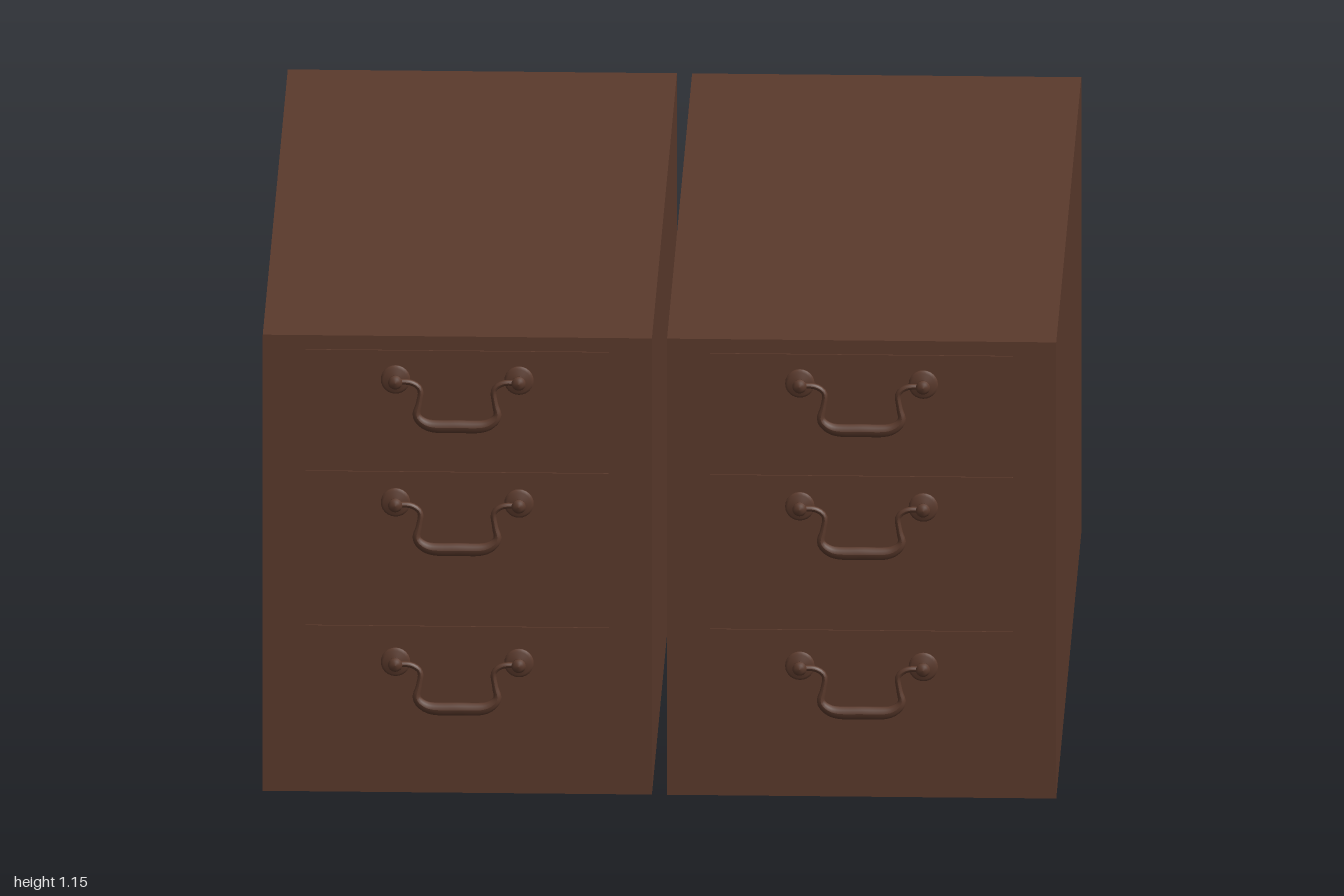
import * as THREE from 'three';

const W = 0.927, H = 1.147, FRONT = 0.962, BACK = -1;
const CENTRE = 0.4815;          // x of each cabinet
const HALF = 0.361;             // half width of a drawer
const FACE = 0.966;             // drawer face, just proud of the frame
const DEPTH = 0.13;             // how far a drawer front reaches inward
const DRAWERS = [               // bottom, top, height of the handle knobs
  { y0: 0.061, y1: 0.419, handle: 0.33 },
  { y0: 0.533, y1: 0.807, handle: 0.731 },
  { y0: 0.883, y1: 1.112, handle: 1.04 },
];

const wood = new THREE.MeshStandardMaterial({ color: 0x5b3a2c, side: THREE.DoubleSide });
wood.name = 'darkBrownWood';

function add(parent, name, geometry, x = 0, y = 0, z = 0) {
  const mesh = new THREE.Mesh(geometry, wood);
  mesh.name = name;
  mesh.position.set(x, y, z);
  parent.add(mesh);
  return mesh;
}

// Flat rectangle, turned by rx and ry
function panel(parent, name, w, h, x, y, z, rx = 0, ry = 0) {
  add(parent, name, new THREE.PlaneGeometry(w, h), x, y, z).rotation.set(rx, ry, 0);
}

// Cabinet shell, open underneath, with drawer openings in the front
function makeCarcass() {
  const g = new THREE.Group();
  g.name = 'carcass';
  const len = FRONT - BACK, mid = (FRONT + BACK) / 2;
  panel(g, 'top', W, len, 0, H, mid, -Math.PI / 2);
  panel(g, 'back', W, H, 0, H / 2, BACK, 0, Math.PI);
  for (const s of [-1, 1]) panel(g, 'side', len, H, s * W / 2, H / 2, mid, 0, s * Math.PI / 2);

  const frame = new THREE.Shape([
    new THREE.Vector2(-W / 2, 0), new THREE.Vector2(W / 2, 0),
    new THREE.Vector2(W / 2, H), new THREE.Vector2(-W / 2, H)]);
  for (const { y0, y1 } of DRAWERS) {
    frame.holes.push(new THREE.Path([
      new THREE.Vector2(-HALF, y0), new THREE.Vector2(-HALF, y1),
      new THREE.Vector2(HALF, y1), new THREE.Vector2(HALF, y0)]));
  }
  add(g, 'frontFrame', new THREE.ShapeGeometry(frame), 0, 0, FRONT);
  return g;
}

// Drawer front: a face with walls running inward, open behind
function makeDrawer({ y0, y1 }) {
  const g = new THREE.Group();
  g.name = 'drawer';
  const h = y1 - y0, cy = (y0 + y1) / 2, z = FACE - DEPTH / 2;
  panel(g, 'drawerFace', HALF * 2, h, 0, cy, FACE);
  panel(g, 'drawerTop', HALF * 2, DEPTH, 0, y1, z, -Math.PI / 2);
  panel(g, 'drawerBottom', HALF * 2, DEPTH, 0, y0, z, Math.PI / 2);
  for (const s of [-1, 1]) panel(g, 'drawerSide', DEPTH, h, s * HALF, cy, z, 0, s * Math.PI / 2);
  return g;
}

// Swan-neck bail: a tube that swells towards the grip
function bailGeometry() {
  const half = [[0.147, 0], [0.108, -0.002], [0.088, -0.018], [0.091, -0.055], [0.096, -0.085], [0.072, -0.107]];
  const points = [
    ...half.map(([x, y]) => new THREE.Vector3(-x, y, 0)),
    new THREE.Vector3(0, -0.111, 0),
    ...half.slice().reverse().map(([x, y]) => new THREE.Vector3(x, y, 0))];
  const curve = new THREE.CatmullRomCurve3(points);
  const segments = 56, sides = 10;
  const geometry = new THREE.TubeGeometry(curve, segments, 1, sides);
  const pos = geometry.attributes.position;
  const v = new THREE.Vector3();
  for (let i = 0; i < pos.count; i++) {
    const t = Math.floor(i / (sides + 1)) / segments;
    const centre = curve.getPointAt(t);
    const swell = THREE.MathUtils.smoothstep(0.5 - Math.abs(t - 0.5), 0.18, 0.42);
    const r = 0.007 + 0.009 * swell;
    v.fromBufferAttribute(pos, i).sub(centre).multiplyScalar(r);
    v.z *= 1 - 0.35 * swell;
    v.add(centre);
    pos.setXYZ(i, v.x, v.y, v.z);
  }
  geometry.computeVertexNormals();
  return geometry;
}

// Rosette, stem and knob turned about the z axis
function rosetteGeometry() {
  const profile = [[0.035, 0], [0.035, 0.005], [0.029, 0.009], [0.014, 0.011], [0.008, 0.014],
    [0.008, 0.018], [0.016, 0.02], [0.017, 0.027], [0.011, 0.032], [0, 0.034]];
  return new THREE.LatheGeometry(profile.map(([r, y]) => new THREE.Vector2(r, y)), 24).rotateX(Math.PI / 2);
}

function makeHandle(y, bail, rosette) {
  const g = new THREE.Group();
  g.name = 'handle';
  g.position.set(0, y, FACE);
  for (const s of [-1, 1]) add(g, 'rosette', rosette, s * 0.147, 0, 0);
  add(g, 'bail', bail, 0, 0, 0.02);
  return g;
}

export function createModel() {
  const model = new THREE.Group();
  model.name = 'drawerPedestals';
  const bail = bailGeometry(), rosette = rosetteGeometry();
  for (const s of [-1, 1]) {
    const cabinet = new THREE.Group();
    cabinet.name = s > 0 ? 'leftCabinet' : 'rightCabinet';
    cabinet.position.x = s * CENTRE;
    cabinet.add(makeCarcass());
    for (const d of DRAWERS) cabinet.add(makeDrawer(d), makeHandle(d.handle, bail, rosette));
    model.add(cabinet);
  }
  return model;
}
